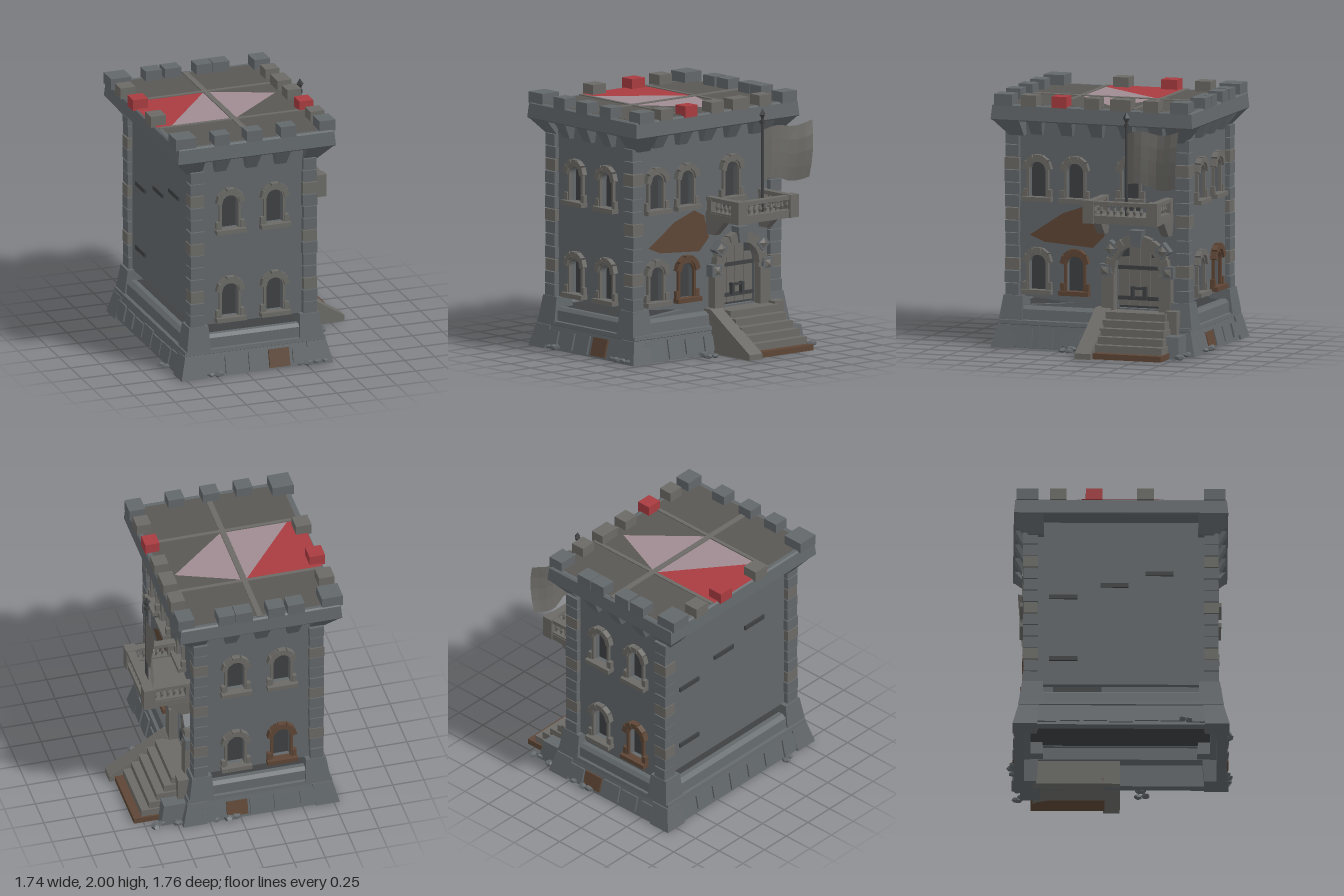
import * as THREE from 'three';

const CX = -0.165, HX = 0.485, HZ = 0.72; // tower centre and half sizes of the wall planes

const mat = (color) => new THREE.MeshStandardMaterial({ color, flatShading: true, side: THREE.DoubleSide });
const STONE = mat(0x62676a), TRIM = mat(0x6b6a66), DARK = mat(0x3e4042), BROWN = mat(0x5e4636),
  RED = mat(0xa83c40), PINK = mat(0xa08c92), ROOF = mat(0x5a5854);

let seed = 7;
const rnd = (a, b) => {
  seed = (seed * 16807) % 2147483647;
  return a + (b - a) * (seed / 2147483647);
};

function add(parent, name, geo, material, x = 0, y = 0, z = 0) {
  const m = new THREE.Mesh(geo, material);
  m.name = name;
  m.position.set(x, y, z);
  parent.add(m);
  return m;
}
// box given by its centre
const box = (p, name, w, h, d, x, y, z, m = STONE) => add(p, name, new THREE.BoxGeometry(w, h, d), m, x, y, z);
const polygon = (pts) => new THREE.Shape(pts.map(([x, y]) => new THREE.Vector2(x, y)));

// rectangular ring swept around the tower; profile rows are [halfX, halfZ, y]
function ring(profile) {
  const corner = [[1, 1], [1, -1], [-1, -1], [-1, 1]], pos = [];
  const at = (p, c) => [c[0] * p[0], p[2], c[1] * p[1]];
  profile.forEach((p, k) => {
    const q = profile[(k + 1) % profile.length];
    corner.forEach((c, i) => {
      const n = corner[(i + 1) % 4];
      pos.push(...at(p, c), ...at(p, n), ...at(q, n), ...at(p, c), ...at(q, n), ...at(q, c));
    });
  });
  const g = new THREE.BufferGeometry();
  g.setAttribute('position', new THREE.Float32BufferAttribute(pos, 3));
  g.computeVertexNormals();
  return g;
}

// box whose underside is scaled and slid sideways
function taper(w, h, d, sx, sz, dx = 0, dz = 0) {
  const g = new THREE.BoxGeometry(w, h, d), p = g.attributes.position;
  for (let i = 0; i < p.count; i++)
    if (p.getY(i) < 0) p.setXYZ(i, p.getX(i) * sx + dx, p.getY(i), p.getZ(i) * sz + dz);
  g.computeVertexNormals();
  return g;
}

// round-headed outline
function arch(C, u, hw, y0, ys) {
  const p = new C();
  p.moveTo(u - hw, y0);
  p.lineTo(u + hw, y0);
  p.lineTo(u + hw, ys);
  p.absarc(u, ys, hw, 0, Math.PI, false);
  p.closePath();
  return p;
}
const extrude = (s, depth) => new THREE.ExtrudeGeometry(s, { depth, bevelEnabled: false, curveSegments: 7 });

// group whose local x runs along a wall and local z points outwards
function face(parent, name, x, z, angle) {
  const g = new THREE.Group();
  g.name = name;
  g.position.set(x, 0, z);
  g.rotation.y = angle;
  parent.add(g);
  return g;
}

// wall with arched openings, each [u, halfWidth, bottom, spring], and an optional broken gap
function wall(g, half, bottom, openings, gap) {
  const s = polygon([[-half, bottom], [half, bottom], [half, 1.82], [-half, 1.82]]);
  openings.forEach((o) => s.holes.push(arch(THREE.Path, ...o)));
  if (gap) s.holes.push(polygon(gap));
  add(g, 'wall', extrude(s, 0.045), STONE, 0, 0, -0.045);
  openings.forEach(([u, hw, y0, ys]) =>
    box(g, 'recessPanel', hw * 2.1, ys - y0 + hw * 1.1, 0.01, u, (y0 + ys + hw) / 2, -0.05, DARK));
}

// stone surround and sill of a window
function windowTrim(g, u, y, m = TRIM) {
  const jamb = arch(THREE.Shape, u, 0.09, y, y + 0.24);
  jamb.holes.push(arch(THREE.Path, u, 0.068, y + 0.01, y + 0.24));
  add(g, 'windowJambs', extrude(jamb, 0.025), m);
  for (let i = 0; i < 5; i++) {                       // wedge stones of the arch
    const a = (i + 0.5) * Math.PI / 5;
    box(g, 'archStone', 0.062, 0.045, 0.045 + rnd(0, 0.01), u - Math.cos(a) * 0.094, y + 0.25 + Math.sin(a) * 0.094, 0.02, m)
      .rotation.z = Math.PI / 2 - a;
  }
  for (const s of [-1, 1]) box(g, 'windowCorner', 0.035, 0.07, 0.04, u + s * 0.1, y + 0.06, 0.015, m);
  box(g, 'windowSill', 0.245, 0.035, 0.07, u, y + 0.018, 0.03, m);
}

function buildBase(t) {
  add(t, 'baseSkirt', ring([[0.61, 0.83, 0], [0.575, 0.785, 0.18], [0.585, 0.795, 0.185], [0.58, 0.79, 0.215],
    [0.555, 0.77, 0.22], [0.545, 0.765, 0.30], [0.51, 0.74, 0.325], [0.47, 0.70, 0.325], [0.47, 0.70, 0.2],
    [0.53, 0.75, 0.18], [0.53, 0.75, 0]]), STONE);
  box(t, 'floor', 0.96, 0.015, 1.42, 0, 0.312, 0, DARK);
  for (const sx of [-1, 1]) for (const sz of [-1, 1]) {
    const g = taper(0.16, 0.2, 0.16, 1.25, 1.25, sx * 0.01, sz * 0.01);
    add(t, 'baseCorner', g, STONE, sx * 0.46, 0.305, sz * 0.69);
    const foot = taper(0.16, 0.18, 0.16, 1.2, 1.2, sx * 0.03, sz * 0.03);
    add(t, 'footStone', foot, STONE, sx * 0.505, 0.09, sz * 0.72);
    for (let i = 0; i < 13; i++) {                    // quoins
      const w = 0.112 + rnd(-0.006, 0.008), d = 0.112 + rnd(-0.006, 0.008);
      box(t, 'quoin', w, 0.092, d, sx * 0.468, 0.45 + i * 0.099, sz * 0.705, i % 4 === 2 ? TRIM : STONE);
    }
  }
  // facing slabs leaning on the skirt
  for (const s of [-1, 1]) {
    for (let i = 0; i < 5; i++) {
      const a = box(t, 'skirtSlab', rnd(0.12, 0.19), rnd(0.11, 0.16), 0.03, -0.38 + i * 0.19, 0.085, s * 0.81, i === 3 ? BROWN : STONE);
      a.rotation.x = -s * 0.25;
    }
    for (let i = s > 0 ? 3 : 0; i < 7; i++) {
      const b = box(t, 'skirtSlab', 0.03, rnd(0.11, 0.16), rnd(0.12, 0.19), s * 0.592, 0.085, -0.6 + i * 0.2);
      b.rotation.z = s * 0.2;
    }
  }
}

function buildTop(t) {
  add(t, 'parapet', ring([[0.645, 0.825, 1.79], [0.655, 0.835, 1.80], [0.645, 0.825, 1.91], [0.63, 0.81, 1.92],
    [0.45, 0.68, 1.915], [0.45, 0.68, 1.79]]), STONE);
  box(t, 'roofDeck', 1.2, 0.02, 1.56, 0, 1.91, 0, ROOF);
  box(t, 'roofBeam', 0.045, 0.02, 1.6, 0, 1.918, 0, TRIM);
  for (const z of [-0.33, 0.32]) box(t, 'roofBeam', 1.24, 0.02, 0.03, 0, 1.918, z, TRIM);
  // coloured roof panels
  const panel = (name, pts, m) => {
    const s = polygon(pts.map(([x, z]) => [x - CX, -z]));
    add(t, name, new THREE.ShapeGeometry(s), m, 0, 1.923, 0).rotation.x = -Math.PI / 2;
  };
  panel('redPanel', [[-0.8, 0.3], [-0.68, 0.3], [-0.19, -0.31], [-0.8, -0.31]], RED);
  panel('palePanel', [[-0.68, 0.3], [-0.19, 0.3], [-0.19, -0.31]], PINK);
  panel('palePanel', [[-0.14, 0.3], [0.34, -0.12], [-0.14, -0.31]], PINK);
  // merlons
  const merlon = (x, z, w = 0.12, d = 0.12, m = STONE) => box(t, 'merlon', w, 0.09, d, x - CX, 1.955, z, m);
  [-0.49, -0.21, 0.19].forEach((z) => merlon(-0.77, z, 0.125, 0.13, z === -0.21 ? RED : TRIM));
  [-0.49, -0.24, 0, 0.27, 0.52].forEach((z) => merlon(0.43, z, 0.115, z === -0.24 ? 0.17 : 0.125, z === 0.27 ? RED : TRIM));
  [-0.45, -0.29, -0.03, 0.11].forEach((x) => merlon(x, -0.77, 0.135, 0.12));
  [-0.45, -0.18, 0.1].forEach((x) => merlon(x, 0.765, 0.13, 0.12));
  for (const z of [-0.73, 0.73]) {
    merlon(-0.745, z, 0.17, 0.17);
    merlon(0.43, z, 0.13, 0.15);
  }
  // corner brackets under the parapet
  for (const sx of [-1, 1]) for (const sz of [-1, 1])
    add(t, 'cornerBracket', taper(0.22, 0.13, 0.22, 0.55, 0.55, -sx * 0.055, -sz * 0.055), STONE, sx * 0.535, 1.73, sz * 0.715);
}

function corbels(g, list) {
  list.forEach((u) => add(g, 'corbel', taper(0.125, 0.12, 0.11, 0.7, 0.4, 0, -0.03), STONE, u, 1.735, 0.05));
}

// main door, built in the coordinates of the right wall
function buildDoor(g) {
  const u = 0.335, f = arch(THREE.Shape, u, 0.255, 0.3, 0.66);
  f.holes.push(arch(THREE.Path, u, 0.185, 0.31, 0.66));
  add(g, 'doorSurround', extrude(f, 0.05), TRIM);
  for (let i = 0; i < 9; i++) {
    const a = (i + 0.5) * Math.PI / 9;
    const s = box(g, 'doorArchStone', 0.085, 0.07, 0.065, u + Math.cos(a) * 0.22, 0.66 + Math.sin(a) * 0.22, 0.033, TRIM);
    s.rotation.z = a;
  }
  for (const s of [-1, 1]) {
    box(g, 'doorPier', 0.1, 0.3, 0.075, u + s * 0.235, 0.47, 0.037, TRIM);
    for (const [du, y, r] of [[0.26, 0.64, 0], [0.215, 0.81, 0.7]]) {
      const b = box(g, 'bossBlock', 0.095, 0.095, 0.075, u + s * du, y, 0.0375, STONE);
      b.rotation.z = r * s;
      const c = add(b, 'boss', new THREE.ConeGeometry(0.045, 0.018, 4, 1), TRIM, 0, 0, 0.046);
      c.rotation.set(Math.PI / 2, Math.PI / 4, 0);
    }
  }
  add(g, 'keystone', taper(0.11, 0.13, 0.09, 0.65, 0.9), STONE, u, 0.9, 0.045);
  for (let i = 0; i < 4; i++) box(g, 'doorPlank', 0.085, i % 3 ? 0.47 : 0.38, 0.02, u - 0.135 + i * 0.09, i % 3 ? 0.595 : 0.55, -0.03, TRIM);
  for (const y of [0.42, 0.66]) box(g, 'doorStrap', 0.36, 0.03, 0.02, u, y, -0.018, DARK);
  box(g, 'doorBar', 0.13, 0.02, 0.03, u, 0.5, 0.0, DARK);
  for (const s of [-1, 1]) box(g, 'doorHandle', 0.025, 0.09, 0.035, u + s * 0.05, 0.47, 0.005, DARK);
}

function buildStairs(root) {
  for (let i = 0; i < 6; i++) {
    const x1 = 0.5 + i * 0.065, h = 0.33 - i * 0.057;
    box(root, 'step', x1 - 0.32, h, 0.5 + i * 0.015, (x1 + 0.32) / 2, h / 2, -0.37 - i * 0.0075, i > 4 ? BROWN : TRIM);
  }
  const s = polygon([[0.32, 0], [0.87, 0], [0.87, 0.045], [0.6, 0.215], [0.4, 0.345], [0.32, 0.345]]);
  add(root, 'stairSideWall', extrude(s, 0.13), TRIM, 0, 0, -0.13);
  box(root, 'stairPier', 0.14, 0.35, 0.1, 0.4, 0.175, -0.65, TRIM);
  add(root, 'brokenStone', taper(0.2, 0.17, 0.12, 1.3, 1.3), STONE, 0.5, 0.085, -0.7);
}

function buildBalcony(root) {
  const g = new THREE.Group();
  g.name = 'balcony';
  root.add(g);
  box(g, 'balconyFloor', 0.4, 0.05, 0.6, 0.51, 1.075, -0.32, TRIM);
  const rail = (w, d, x, z) => {
    box(g, 'handrail', w, 0.03, d, x, 1.21, z, TRIM);
    box(g, 'lowerRail', w, 0.018, d, x, 1.105, z, TRIM);
  };
  rail(0.065, 0.6, 0.685, -0.32);
  const profile = [[0.016, 0], [0.009, 0.02], [0.017, 0.045], [0.009, 0.075], [0.016, 0.1]].map((p) => new THREE.Vector2(...p));
  const baluster = (x, z) => add(g, 'baluster', new THREE.LatheGeometry(profile, 6), TRIM, x, 1.105, z);
  for (let i = 0; i < 9; i++) baluster(0.685, -0.1 - i * 0.055);
  for (const z of [-0.055, -0.585]) {
    rail(0.36, 0.06, 0.5, z);
    box(g, 'balconyPost', 0.09, 0.18, 0.09, 0.68, 1.14, z, TRIM);
    box(g, 'balconyPost', 0.05, 0.16, 0.07, 0.36, 1.13, z, TRIM);
    for (let i = 0; i < 5; i++) baluster(0.42 + i * 0.05, z);
    add(g, 'balconyBracket', taper(0.22, 0.12, 0.07, 0.4, 0.8, -0.06), TRIM, 0.43, 0.99, z);
  }
  // flag on its pole
  add(g, 'flagPole', new THREE.CylinderGeometry(0.012, 0.014, 0.75, 6), DARK, 0.625, 1.475, -0.34);
  add(g, 'poleFinial', new THREE.OctahedronGeometry(0.03), DARK, 0.625, 1.88, -0.34).scale.y = 1.6;
  add(g, 'poleCollar', new THREE.CylinderGeometry(0.022, 0.022, 0.025, 6), DARK, 0.625, 1.82, -0.34);
  const cloth = new THREE.PlaneGeometry(1, 1, 7, 4), p = cloth.attributes.position;
  for (let i = 0; i < p.count; i++) {
    const a = p.getX(i) + 0.5, b = p.getY(i);
    p.setXYZ(i, 0.63 + 0.07 * a * (1 - 1.6 * b * b) + 0.018 * Math.sin(a * 8),
      1.56 + b * (0.4 + 0.05 * a) + 0.02 * Math.sin(a * 7), -0.35 - 0.43 * a - 0.03 * a * b);
  }
  cloth.computeVertexNormals();
  add(g, 'flag', cloth, TRIM);
}

export function createModel() {
  seed = 7;
  const root = new THREE.Group();
  root.name = 'stoneTower';
  const tower = new THREE.Group();
  tower.name = 'tower';
  tower.position.x = CX;
  root.add(tower);
  buildBase(tower);
  buildTop(tower);

  // front and back walls with four windows each
  for (const s of [1, -1]) {
    const g = face(tower, s > 0 ? 'frontWall' : 'backWall', 0, s * HZ, s > 0 ? 0 : Math.PI);
    const spots = [[-0.19, 0.42], [0.18, 0.42], [-0.19, 1.15], [0.18, 1.15]].map(([u, y]) => [u * s, y]);
    wall(g, 0.46, 0.4, spots.map(([u, y]) => [u, 0.07, y + 0.03, y + 0.24]));
    spots.forEach(([u, y]) => windowTrim(g, u, y, s < 0 && y < 1 && u > 0 ? BROWN : TRIM));
    corbels(g, [-0.275, -0.02, 0.225].map((u) => u * s));
  }
  // right wall with windows, main door and balcony door
  const r = face(tower, 'rightWall', HX, 0, Math.PI / 2);
  const spots = [[-0.5, 0.42], [-0.19, 0.42], [-0.5, 1.15], [-0.19, 1.15]];
  wall(r, 0.69, 0.3, [...spots.map(([u, y]) => [u, 0.07, y + 0.03, y + 0.24]),
    [0.335, 0.18, 0.34, 0.66], [0.27, 0.075, 1.1, 1.4]], [[-0.63, 0.4], [-0.63, 0.325], [-0.2, 0.36]]);
  spots.forEach(([u, y]) => windowTrim(r, u, y, u > -0.3 && y < 1 ? BROWN : TRIM));
  windowTrim(r, 0.27, 1.17);
  corbels(r, [-0.5, -0.25, 0, 0.25, 0.5]);
  const stain = polygon([[-0.57, 0.88], [-0.3, 1.06], [-0.1, 1.13], [0, 1.08], [0.05, 0.9], [-0.05, 0.8], [-0.45, 0.83]]);
  add(r, 'brownPatch', new THREE.ShapeGeometry(stain), BROWN, 0, 0, 0.003);
  buildDoor(r);
  // plain left wall with a few narrow ledges
  const l = face(tower, 'leftWall', -HX, 0, -Math.PI / 2);
  wall(l, 0.69, 0.4, []);
  [[-0.45, 1.15], [-0.05, 1.25], [0.3, 1.35], [-0.45, 0.62]].forEach(([u, y]) => box(l, 'wallLedge', 0.22, 0.035, 0.02, u, y, 0.005, DARK));

  buildStairs(root);
  buildBalcony(root);

  // loose rubble round the foot
  [[-0.83, 0.48], [-0.81, 0.53], [-0.55, 0.83], [-0.48, 0.84], [0.2, 0.83], [0.26, 0.84], [0.33, 0.84], [0.39, 0.82],
    [0.51, 0.16], [0.6, 0.2], [0.62, 0.14], [0.04, -0.83], [0.1, -0.84], [0.2, -0.84], [0.56, -0.74], [0.62, -0.77],
    [0.68, -0.8], [0.5, -0.8], [0.47, -0.74]].forEach(([x, z]) => {
    const k = add(root, 'rubble', new THREE.DodecahedronGeometry(0.035 + rnd(0, 0.015)), STONE, x, 0.025, z);
    k.scale.set(1, 0.5, 0.8);
    k.rotation.y = rnd(0, 3);
  });
  return root;
}
